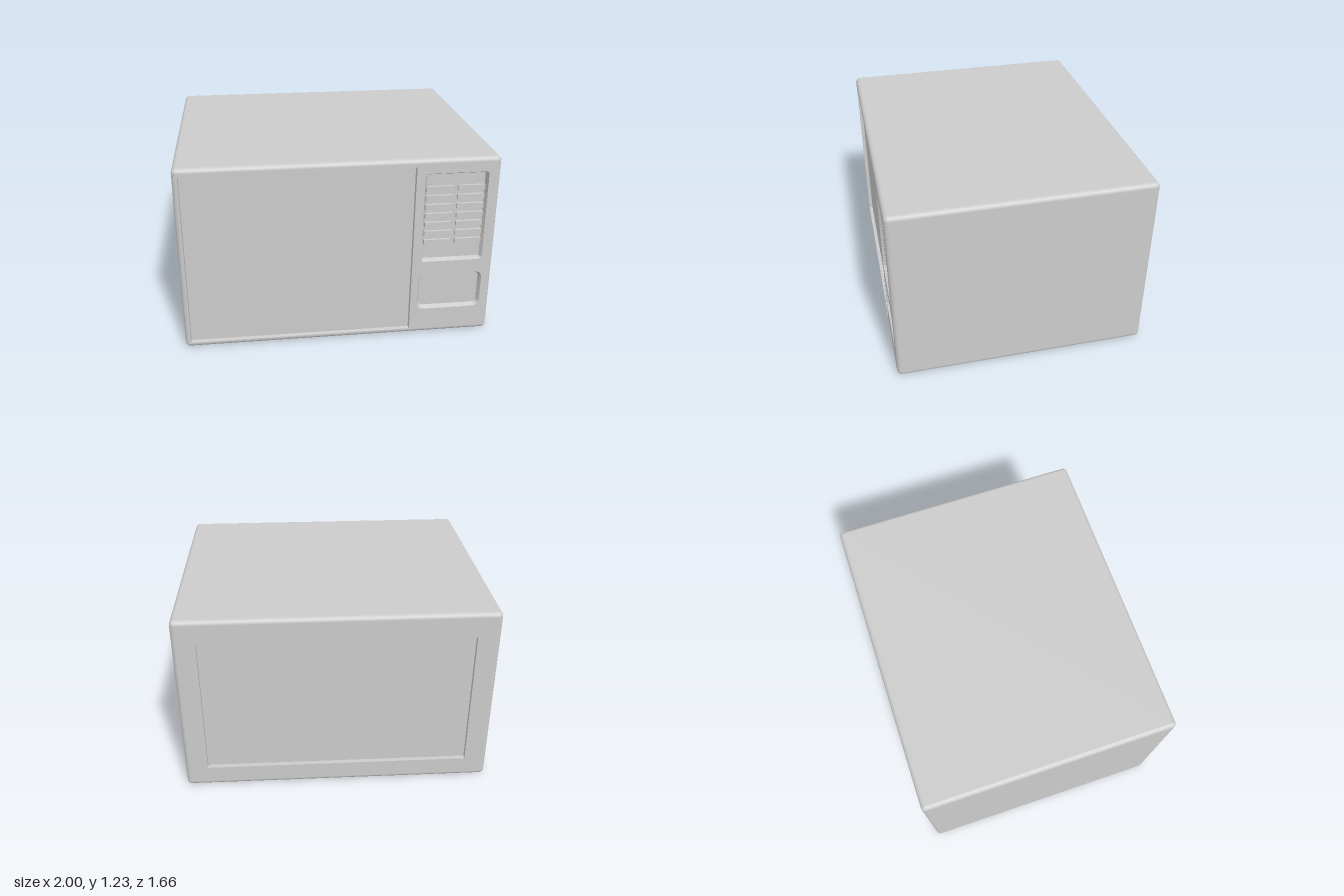
import * as THREE from 'three';
import { RoundedBoxGeometry } from 'three/addons/geometries/RoundedBoxGeometry.js';
import { toCreasedNormals } from 'three/addons/utils/BufferGeometryUtils.js';

const W = 2, H = 1.23, D = 1.66, R = 0.03;
const material = new THREE.MeshStandardMaterial({ color: 0xcccccc });

function mesh(name, geometry, parent) {
  const m = new THREE.Mesh(geometry, material);
  m.name = name;
  parent.add(m);
  return m;
}

// Counter-clockwise rectangle outline with optional rounded corners
function outline([x0, y0, x1, y1], r = 0, inset = 0) {
  x0 += inset; y0 += inset; x1 -= inset; y1 -= inset;
  if (r === 0) return [[x0, y0], [x1, y0], [x1, y1], [x0, y1]].map(p => new THREE.Vector2(...p));
  r = Math.max(r - inset, 0.005);
  const centres = [[x1 - r, y0 + r, -1], [x1 - r, y1 - r, 0], [x0 + r, y1 - r, 1], [x0 + r, y0 + r, 2]];
  const pts = [];
  for (const [cx, cy, q] of centres) {
    for (let i = 0; i <= 6; i++) {
      const a = (q + i / 6) * Math.PI / 2;
      pts.push(new THREE.Vector2(cx + r * Math.cos(a), cy + r * Math.sin(a)));
    }
  }
  return pts;
}

// Sloping walls and a flat floor set below a face plate
function addRecess({ name, rect, r = 0, inset = 0, depth }, parent) {
  const rim = outline(rect, r), base = outline(rect, r, inset), v = [];
  rim.forEach((a, i) => {
    const j = (i + 1) % rim.length, b = rim[j], c = base[i], d = base[j];
    v.push(a.x, a.y, 0, b.x, b.y, 0, c.x, c.y, -depth);
    v.push(b.x, b.y, 0, d.x, d.y, -depth, c.x, c.y, -depth);
  });
  const walls = new THREE.BufferGeometry();
  walls.setAttribute('position', new THREE.Float32BufferAttribute(v, 3));
  mesh(name + 'Walls', toCreasedNormals(walls, 0.6), parent);
  mesh(name + 'Floor', new THREE.ShapeGeometry(new THREE.Shape(base)), parent).position.z = -depth;
}

// Flat face with holes, one recess behind each hole
function addFace(name, w, h, recesses, parent) {
  const face = new THREE.Group();
  face.name = name;
  const shape = new THREE.Shape(outline([-w / 2 + R, -h / 2 + R, w / 2 - R, h / 2 - R]));
  for (const recess of recesses) {
    shape.holes.push(new THREE.Path(outline(recess.rect, recess.r)));
    addRecess(recess, face);
  }
  mesh(name + 'Plate', new THREE.ShapeGeometry(shape), face);
  parent.add(face);
  return face;
}

// Rounded casing, left open where the recessed faces go
function casingGeometry() {
  const box = new RoundedBoxGeometry(W, H, D, 5, R);
  const src = box.index ? box.toNonIndexed() : box;
  const p = src.attributes.position, n = src.attributes.normal;
  const pos = [], nor = [];
  for (let i = 0; i < p.count; i += 3) {
    const all = test => [i, i + 1, i + 2].every(test);
    const open = all(k => Math.abs(p.getZ(k)) > D / 2 - 1e-4) || all(k => p.getY(k) < -H / 2 + 1e-4);
    if (open) continue;
    for (let k = i; k < i + 3; k++) {
      pos.push(p.getX(k), p.getY(k), p.getZ(k));
      nor.push(n.getX(k), n.getY(k), n.getZ(k));
    }
  }
  const g = new THREE.BufferGeometry();
  g.setAttribute('position', new THREE.Float32BufferAttribute(pos, 3));
  g.setAttribute('normal', new THREE.Float32BufferAttribute(nor, 3));
  return g;
}

export function createModel() {
  const model = new THREE.Group();
  model.name = 'microwaveOven';
  const body = new THREE.Group();
  body.name = 'body';
  body.position.y = H / 2;
  model.add(body);
  mesh('casing', casingGeometry(), body);

  // Front: door, keypad bay and door release
  const c = H / 2, bayDepth = 0.03;
  const front = addFace('front', W, H, [
    { name: 'door', rect: [-0.965, 0.035 - c, 0.47, 1.18 - c], depth: 0.025, inset: 0.003 },
    { name: 'keypadBay', rect: [0.525, 0.53 - c, 0.925, 1.135 - c], r: 0.02, inset: 0.014, depth: bayDepth },
    { name: 'release', rect: [0.515, 0.18 - c, 0.935, 0.44 - c], r: 0.045, inset: 0.015, depth: 0.03 },
  ], body);
  front.position.z = D / 2;

  // Two columns of seven keys
  const key = new THREE.BoxGeometry(0.17, 0.035, 0.02);
  for (const x of [0.625, 0.825]) {
    for (let row = 0; row < 7; row++) {
      mesh('key', key, front).position.set(x, 1.027 - row * 0.061 - c, -bayDepth + 0.008);
    }
  }

  // Back and underside, each with one shallow panel
  const back = addFace('back', W, H, [
    { name: 'backPanel', rect: [-0.855, 0.14 - c, 0.855, 1.07 - c], depth: 0.03 },
  ], body);
  back.rotation.y = Math.PI;
  back.position.z = -D / 2;

  const bottom = addFace('bottom', W, D, [
    { name: 'bottomPanel', rect: [-0.86, -0.685, 0.86, 0.685], depth: 0.03 },
  ], body);
  bottom.rotation.x = Math.PI / 2;
  bottom.position.y = -H / 2;

  return model;
}
